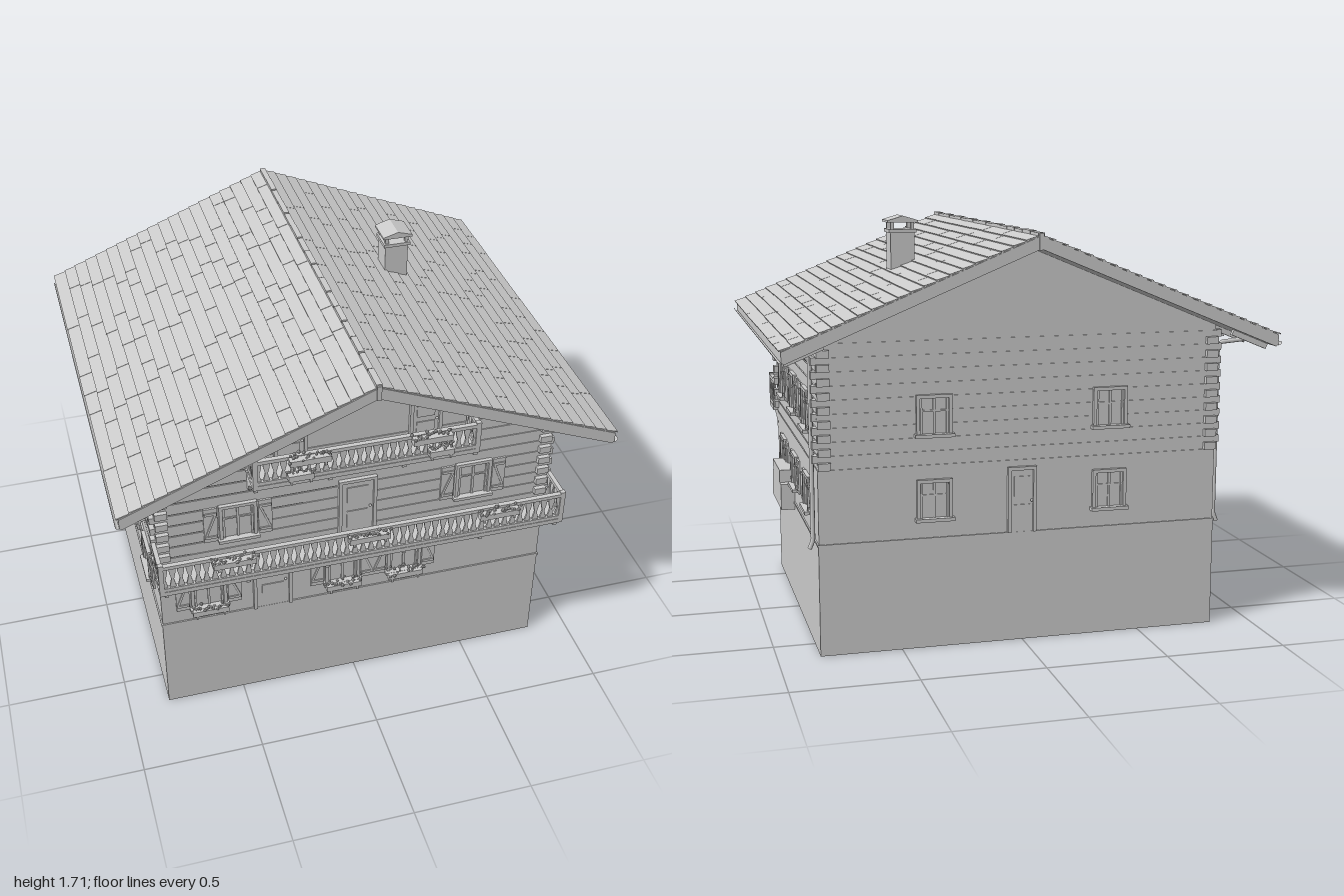
import * as THREE from 'three';

const grey = new THREE.MeshStandardMaterial({ color: 0xcccccc, side: THREE.DoubleSide });
grey.name = 'plain grey';

let seed = 7;
const rand = () => (seed = (seed * 16807) % 2147483647) / 2147483647;

function add(parent, name, geo, x = 0, y = 0, z = 0) {
  const m = new THREE.Mesh(geo, grey);
  m.name = name;
  m.position.set(x, y, z);
  parent.add(m);
  return m;
}
const box = (parent, name, w, h, d, x, y, z) => add(parent, name, new THREE.BoxGeometry(w, h, d), x, y, z);
function group(parent, name, x = 0, y = 0, z = 0, ry = 0) {
  const g = new THREE.Group();
  g.name = name;
  g.position.set(x, y, z);
  g.rotation.y = ry;
  parent.add(g);
  return g;
}
function extrude(points, depth) {
  const shape = new THREE.Shape(points.map(p => new THREE.Vector2(...p)));
  return new THREE.ExtrudeGeometry(shape, { depth, bevelEnabled: false }).translate(0, 0, -depth / 2);
}

// Window facing +z, with its origin at the middle of the bottom edge
function addWindow(parent, w, h, shutters) {
  const t = 0.014;
  for (const s of [-1, 1]) {
    box(parent, 'windowJamb', t, h, 0.018, s * (w - t) / 2, h / 2, 0.006);
    box(parent, 'windowSash', 0.008, h - 2 * t, 0.01, s * (w / 2 - t - 0.006), h / 2, 0.004);
    if (!shutters) continue;
    const leaf = group(parent, 'shutter', s * (w / 2 + 0.034), h / 2, 0.004);
    box(leaf, 'shutterPanel', 0.056, h - 0.01, 0.008, 0, 0, 0);
    for (const v of [-1, 1]) box(leaf, 'shutterBatten', 0.05, 0.012, 0.006, 0, v * h * 0.33, 0.006);
    box(leaf, 'shutterBrace', 0.009, h * 0.66, 0.005, 0, 0, 0.006).rotation.z = s * 0.36;
  }
  box(parent, 'windowHead', w, t, 0.018, 0, h - t / 2, 0.006);
  box(parent, 'windowSill', w + 0.014, 0.014, 0.032, 0, 0.007, 0.012);
  box(parent, 'windowPane', w - 2 * t, h - 2 * t, 0.004, 0, h / 2, 0);
  box(parent, 'mullion', 0.01, h - 2 * t, 0.009, 0, h / 2, 0.003);
  box(parent, 'glazingBar', w - 2 * t, 0.007, 0.008, 0, h * 0.62, 0.003);
}

function addDoor(parent, w, h) {
  for (const s of [-1, 1]) box(parent, 'doorJamb', 0.014, h, 0.02, s * (w / 2 - 0.007), h / 2, 0.006);
  box(parent, 'doorHead', w, 0.014, 0.02, 0, h - 0.007, 0.006);
  box(parent, 'doorLeaf', w - 0.028, h - 0.014, 0.008, 0, h / 2 - 0.007, 0);
  for (const v of [0.27, 0.7]) box(parent, 'doorPanel', w * 0.55, h * 0.3, 0.006, 0, h * v, 0.005);
  add(parent, 'doorKnob', new THREE.SphereGeometry(0.006, 8, 6), w * 0.33, h * 0.48, 0.012);
}

function addFlowerBox(parent, x, y, z, w) {
  const g = group(parent, 'flowerBox', x, y, z);
  box(g, 'planter', w, 0.026, 0.03, 0, 0.013, 0);
  for (const s of [-1, 1]) box(g, 'planterBracket', 0.008, 0.018, 0.028, s * w * 0.38, -0.007, 0);
  const n = Math.round(w / 0.008);
  for (let i = 0; i < n; i++) {
    const fx = ((i + 0.5) / n - 0.5) * w * 1.1;
    add(g, 'blossom', new THREE.IcosahedronGeometry(0.005 + rand() * 0.004, 0),
      fx, 0.024 + rand() * 0.026, (rand() - 0.4) * 0.04);
  }
}

// Flat waisted baluster board
const balusterGeo = (h, w) => extrude([[-w, 0], [w, 0], [w * 0.9, h * 0.2], [w * 0.35, h * 0.5], [w * 0.9, h * 0.8],
  [w, h], [-w, h], [-w * 0.9, h * 0.8], [-w * 0.35, h * 0.5], [-w * 0.9, h * 0.2]], 0.008);

function addBalcony(parent, name, halfW, y, h, z0, z1, bracketXs) {
  const g = group(parent, name, 0, y, 0);
  const depth = z1 - z0, zm = (z0 + z1) / 2;
  box(g, 'balconyFloor', halfW * 2, 0.02, depth, 0, 0.01, zm);
  const board = balusterGeo(h - 0.036, 0.014);
  const n = Math.round(halfW * 2 / 0.034);
  for (let i = 0; i < n; i++)
    add(g, 'baluster', board, ((i + 0.5) / n - 0.5) * (halfW * 2 - 0.01), 0.02, z1 - 0.01);
  for (const v of [0.03, h - 0.009]) box(g, 'frontRail', halfW * 2, 0.016, 0.02, 0, v, z1 - 0.01);
  for (const s of [-1, 1]) {
    for (const v of [0.03, h - 0.009]) box(g, 'sideRail', 0.018, 0.016, depth, s * (halfW - 0.009), v, zm);
    for (let i = 0; i < 4; i++)
      add(g, 'sideBaluster', board, s * (halfW - 0.009), 0.02, z0 + (i + 0.4) * depth / 4.3).rotation.y = Math.PI / 2;
    box(g, 'cornerPost', 0.02, h + 0.006, 0.02, s * (halfW - 0.01), h / 2 + 0.003, z1 - 0.01);
  }
  // Curved timber brackets carrying the floor
  const d = depth - 0.01;
  const bracket = extrude([[0, 0], [d, 0], [d, -0.018], [d * 0.75, -0.03], [d * 0.5, -0.034],
    [d * 0.25, -0.055], [d * 0.16, -0.085], [0, -0.09]], 0.016).rotateY(-Math.PI / 2);
  for (const x of bracketXs) add(g, 'balconyBracket', bracket, x, 0, z0);
}

function addRoofSide(parent, s) {
  const g = group(parent, s > 0 ? 'leftRoof' : 'rightRoof', 0, 0, 0, s > 0 ? 0 : Math.PI);
  add(g, 'roofSlab', extrude([[0, 1.61], [0.975, 1.208], [0.985, 1.215], [0.985, 1.255], [0, 1.66]], 1.78));
  // Overlapping shingle courses, split at irregular joints
  const slope = group(g, 'shingles', 0, 1.66, 0);
  slope.rotation.z = -Math.atan(0.411);
  const rows = 20, step = 1.066 / rows;
  for (let i = 0; i < rows; i++) {
    let z = -0.888;
    while (z < 0.887) {
      let len = 0.12 + rand() * 0.3;
      if (z + len > 0.8) len = 0.888 - z;
      const m = box(slope, 'shingle', step + 0.006 + rand() * 0.006, 0.005, len - 0.002,
        (i + 0.5) * step + 0.002, 0.003, z + len / 2);
      m.rotation.z = 0.09;
      z += len;
    }
  }
  // Rafter tails under the eaves
  for (let i = 0; i < 9; i++) {
    const r = box(g, 'rafterTail', 0.16, 0.026, 0.018, 0.895, 1.231, -0.81 + i * 0.2025);
    r.rotation.z = -Math.atan(0.411);
  }
  // Gutter and downpipe
  add(g, 'gutter', new THREE.CylinderGeometry(0.014, 0.014, 1.78, 10, 1, true, -Math.PI / 2, Math.PI)
    .rotateX(Math.PI / 2), 0.986, 1.226, 0);
  const zp = -0.62 * s;
  const path = new THREE.CurvePath();
  const pts = [[0.98, 1.212], [0.96, 1.203], [0.86, 1.195], [0.846, 1.18], [0.846, 0.47], [0.86, 0.435]]
    .map(p => new THREE.Vector3(p[0], p[1], zp));
  for (let i = 1; i < pts.length; i++) path.add(new THREE.LineCurve3(pts[i - 1], pts[i]));
  add(g, 'downpipe', new THREE.TubeGeometry(path, 60, 0.009, 8));
}

export function createModel() {
  const house = new THREE.Group();
  house.name = 'chalet';

  // Masonry base, rendered ground floor and gabled core
  box(house, 'basement', 1.66, 0.45, 1.31, 0, 0.225, 0);
  add(house, 'wallCore', extrude([[-0.822, 0.45], [0.822, 0.45], [0.822, 1.275], [0, 1.612], [-0.822, 1.275]], 1.298));
  box(house, 'groundFloor', 1.656, 0.305, 1.306, 0, 0.6, 0);
  box(house, 'plinthLedge', 1.668, 0.008, 1.318, 0, 0.452, 0);

  // Log courses with crossing ends at the corners
  for (let i = 0; i < 9; i++) {
    const y = 0.783 + i * 0.055;
    box(house, 'logCourse', 1.656, 0.05, 1.306, 0, y, 0);
    for (const sx of [-1, 1]) for (const sz of [-1, 1]) {
      box(house, 'logEndSide', 0.03, 0.03, 0.05, sx * 0.832, y + 0.013, sz * 0.627);
      box(house, 'logEndGable', 0.05, 0.03, 0.03, sx * 0.802, y - 0.014, sz * 0.657);
    }
  }

  // Side windows
  for (const s of [-1, 1]) for (const z of [-0.385, 0, 0.385]) for (const [y, h] of [[0.53, 0.155], [0.865, 0.175]])
    addWindow(group(house, 'sideWindow', s * 0.829, y, z, s * Math.PI / 2), 0.145, h, true);

  // Back windows and door
  for (const x of [-0.365, 0.365]) for (const y of [0.525, 0.865])
    addWindow(group(house, 'backWindow', x, y, -0.654, Math.PI), 0.145, 0.17, false);
  addDoor(group(house, 'backDoor', 0.005, 0.456, -0.654, Math.PI), 0.12, 0.27);

  // Front windows and doors
  for (const x of [-0.63, -0.06, 0.21]) {
    addWindow(group(house, 'groundWindow', x, 0.515, 0.654), 0.15, 0.185, true);
    addFlowerBox(house, x, 0.502, 0.682, 0.15);
  }
  for (const x of [-0.495, 0.495]) addWindow(group(house, 'balconyWindow', x, 0.86, 0.654), 0.155, 0.18, true);
  addDoor(group(house, 'frontDoor', -0.36, 0.456, 0.654), 0.165, 0.29);
  addDoor(group(house, 'balconyDoor', 0, 0.775, 0.654), 0.16, 0.285);
  for (const x of [-0.275, 0.275]) addDoor(group(house, 'atticDoor', x, 1.21, 0.65), 0.135, 0.185);
  add(house, 'doorLamp', new THREE.CylinderGeometry(0.012, 0.006, 0.04, 6), -0.23, 0.712, 0.668);
  add(house, 'lampCap', new THREE.ConeGeometry(0.014, 0.012, 6), -0.23, 0.738, 0.668);

  // Balconies with flower boxes
  addBalcony(house, 'mainBalcony', 0.848, 0.76, 0.152, 0.655, 0.81, [-0.82, -0.49, -0.165, 0.16, 0.49, 0.82]);
  addBalcony(house, 'atticBalcony', 0.458, 1.195, 0.138, 0.655, 0.79, [-0.445, -0.15, 0.15, 0.445]);
  for (const x of [-0.55, 0, 0.55]) addFlowerBox(house, x, 0.876, 0.828, 0.17);
  for (const x of [-0.24, 0.25]) {
    addFlowerBox(house, x, 1.305, 0.808, 0.16);
    addFlowerBox(house, x * 1.15, 1.235, 0.808, 0.1);
  }

  // Roof and ridge caps
  addRoofSide(house, 1);
  addRoofSide(house, -1);
  for (let i = 0; i < 16; i++)
    box(house, 'ridgeCap', 0.024, 0.014, 0.106, 0, 1.664 + (i % 2) * 0.003, -0.835 + i * 0.1113);
  for (const s of [-1, 1]) box(house, 'ridgeEnd', 0.018, 0.062, 0.012, 0, 1.637, s * 0.888);

  // Chimney with a small gabled cap
  const chimney = group(house, 'chimney', 0.392, 0, -0.155);
  box(chimney, 'chimneyStack', 0.1, 0.17, 0.096, 0, 1.555, 0);
  box(chimney, 'chimneyCollar', 0.116, 0.014, 0.112, 0, 1.645, 0);
  for (const sx of [-1, 1]) for (const sz of [-1, 1])
    box(chimney, 'chimneyPost', 0.014, 0.034, 0.014, sx * 0.043, 1.667, sz * 0.041);
  add(chimney, 'chimneyCap', extrude([[-0.064, 1.68], [0.064, 1.68], [0.064, 1.689], [0, 1.708], [-0.064, 1.689]], 0.12));

  // Stepped store against the left wall
  const store = group(house, 'sideStore');
  for (const [y0, y1, z0, z1] of [[0.42, 0.475, 0.07, 0.395], [0.475, 0.535, 0.07, 0.378], [0.535, 0.59, 0.11, 0.358]])
    box(store, 'storeTier', 0.07, y1 - y0, z1 - z0, 0.854, (y0 + y1) / 2, (z0 + z1) / 2);

  return house;
}
